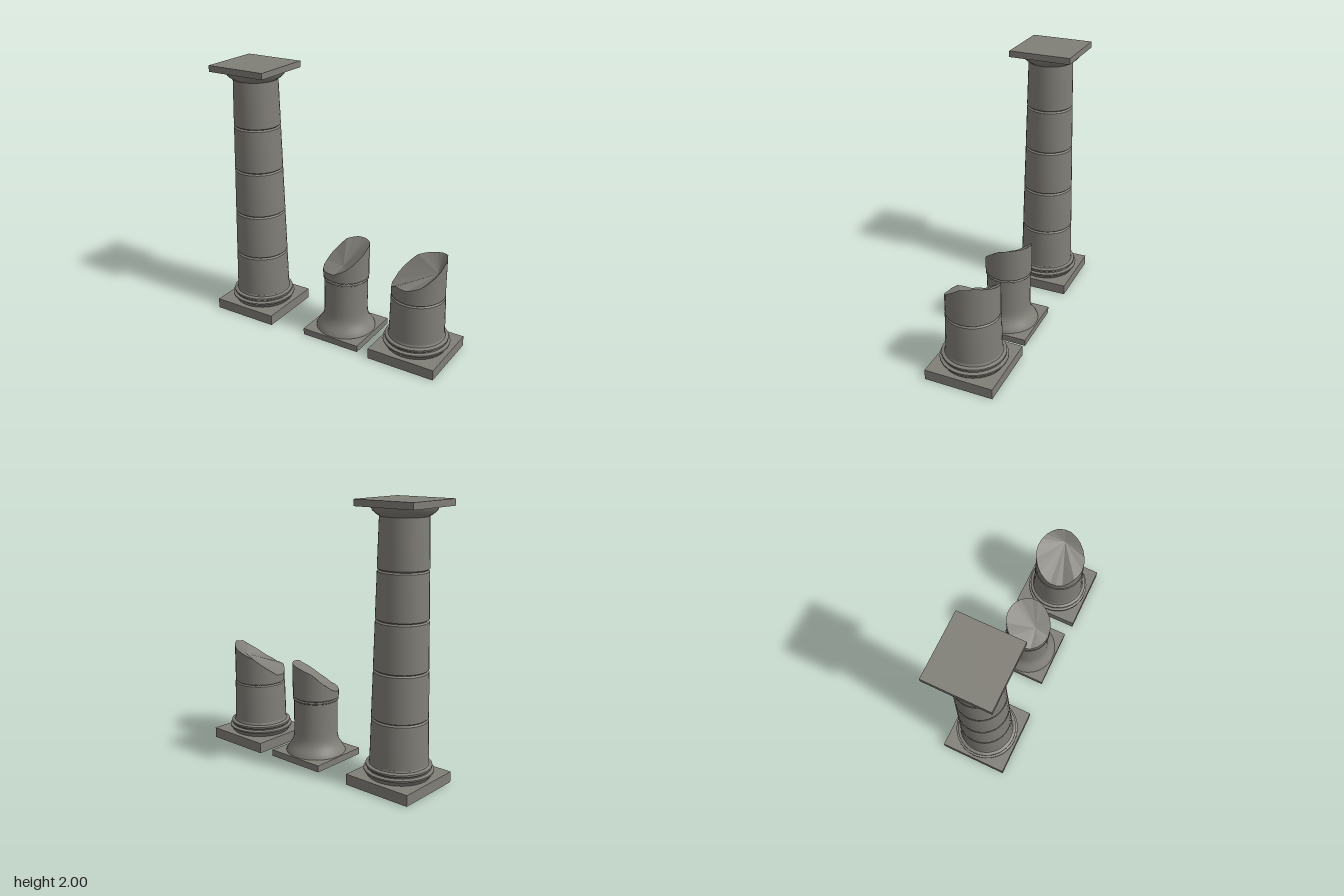
import * as THREE from 'three';
import { toCreasedNormals } from 'three/addons/utils/BufferGeometryUtils.js';

const stone = new THREE.MeshStandardMaterial({ color: 0x807e77 });
stone.name = 'weathered stone';
const fractured = new THREE.MeshStandardMaterial({ color: 0x807e77, side: THREE.DoubleSide, flatShading: true });
fractured.name = 'fractured stone';

function add(group, name, geometry, material = stone) {
  const mesh = new THREE.Mesh(geometry, material);
  mesh.name = name;
  group.add(mesh);
  return mesh;
}

function slab(group, name, width, y0, y1) {
  add(group, name, new THREE.BoxGeometry(width, y1 - y0, width)).position.y = (y0 + y1) / 2;
}

// Turned part from [radius, height] pairs, bottom to top
function turned(group, name, profile) {
  const points = profile.map(([r, y]) => new THREE.Vector2(r, y));
  add(group, name, toCreasedNormals(new THREE.LatheGeometry(points, 32), 0.5));
}

// Drum with small bevels that leave a groove at each joint
function drum(group, name, r0, y0, r1, y1) {
  turned(group, name, [[r0 - 0.012, y0], [r0, y0 + 0.01], [r1, y1 - 0.01], [r1 - 0.012, y1]]);
}

// Square plinth and stepped round mouldings
function mouldedBase(group) {
  slab(group, 'plinth', 0.527, 0, 0.08);
  turned(group, 'baseMouldings', [
    [0.225, 0.08], [0.235, 0.095], [0.249, 0.115], [0.249, 0.125], [0.226, 0.132],
    [0.226, 0.14], [0.235, 0.148], [0.235, 0.16], [0.212, 0.168], [0.206, 0.185],
  ]);
}

// Snapped drum: rim heights every 30 degrees from +x towards +z, with one low point inside
function brokenDrum(group, r, y0, heights, hub) {
  const sides = 24;
  const rim = (a) => {
    const t = ((a / (Math.PI * 2)) * 12 + 24) % 12;
    const i = Math.floor(t);
    return THREE.MathUtils.lerp(heights[i % 12], heights[(i + 1) % 12], t - i);
  };
  const wall = new THREE.CylinderGeometry(r, r, 1, sides, 1, true);
  const pos = wall.attributes.position;
  for (let i = 0; i < pos.count; i++) {
    const a = Math.atan2(pos.getZ(i), pos.getX(i));
    pos.setY(i, pos.getY(i) > 0 ? rim(a) : y0 + 0.01);
  }
  add(group, 'brokenDrumWall', wall);
  turned(group, 'brokenDrumBevel', [[r - 0.012, y0], [r, y0 + 0.01]]);

  const verts = [];
  const corner = (i) => {
    const a = (i / sides) * Math.PI * 2;
    return [r * Math.cos(a), rim(a), r * Math.sin(a)];
  };
  for (let i = 0; i < sides; i++) verts.push(...hub, ...corner(i + 1), ...corner(i));
  const face = new THREE.BufferGeometry();
  face.setAttribute('position', new THREE.Float32BufferAttribute(verts, 3));
  face.computeVertexNormals();
  add(group, 'fractureFace', face, fractured);
}

function tallColumn() {
  const g = new THREE.Group();
  g.name = 'tallColumn';
  mouldedBase(g);
  const joints = [0.17, 0.5, 0.845, 1.195, 1.535, 1.9];
  const radius = (y) => 0.209 - (y - 0.17) * 0.0235;
  for (let i = 0; i < 5; i++) {
    drum(g, 'shaftDrum', radius(joints[i]), joints[i], radius(joints[i + 1]), joints[i + 1]);
  }
  // Flared capital under a square top slab
  turned(g, 'capital', [[0.162, 1.885], [0.172, 1.893], [0.195, 1.908], [0.216, 1.928], [0.226, 1.955]]);
  slab(g, 'abacus', 0.477, 1.953, 2);
  return g;
}

function flaredStump() {
  const g = new THREE.Group();
  g.name = 'flaredStump';
  slab(g, 'plinth', 0.475, 0, 0.05);
  turned(g, 'flaredShaft', [
    [0.228, 0.05], [0.222, 0.065], [0.21, 0.085], [0.192, 0.11], [0.176, 0.14],
    [0.169, 0.17], [0.166, 0.21], [0.166, 0.46], [0.173, 0.465], [0.173, 0.472], [0.163, 0.48],
  ]);
  brokenDrum(g, 0.175, 0.478,
    [0.73, 0.67, 0.6, 0.55, 0.54, 0.53, 0.555, 0.62, 0.7, 0.73, 0.74, 0.745],
    [0.01, 0.575, 0.06]);
  return g;
}

function mouldedStump() {
  const g = new THREE.Group();
  g.name = 'mouldedStump';
  mouldedBase(g);
  drum(g, 'shaftDrum', 0.206, 0.17, 0.199, 0.492);
  brokenDrum(g, 0.197, 0.488,
    [0.78, 0.71, 0.64, 0.6, 0.6, 0.55, 0.56, 0.63, 0.71, 0.745, 0.775, 0.8],
    [0.14, 0.685, -0.02]);
  return g;
}

export function createModel() {
  const model = new THREE.Group();
  model.name = 'ruinedColumns';
  const parts = [[tallColumn(), -0.701], [flaredStump(), 0.089], [mouldedStump(), 0.696]];
  for (const [part, x] of parts) {
    part.position.x = x;
    model.add(part);
  }
  return model;
}
